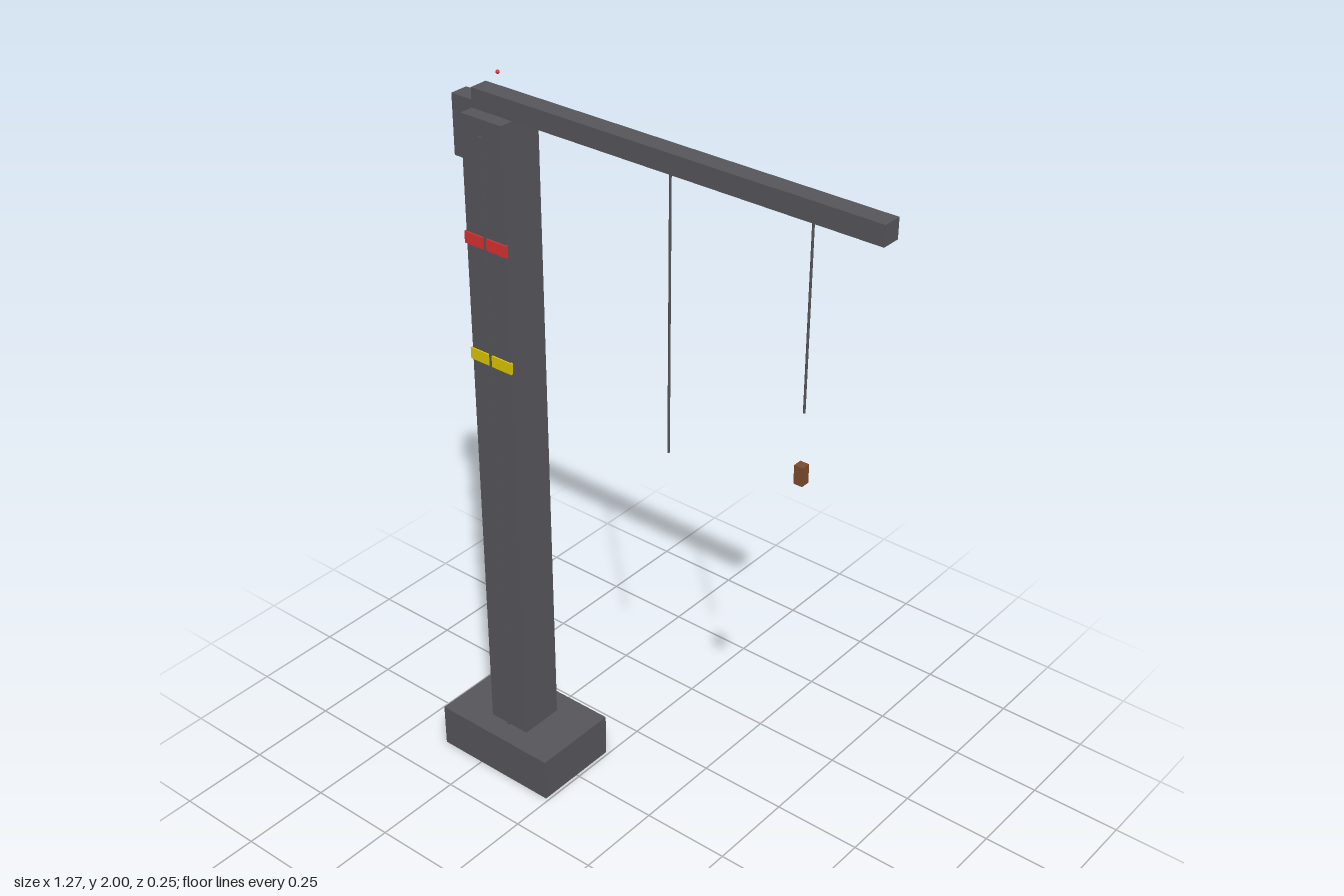
import * as THREE from 'three';

const material = (color) => new THREE.MeshStandardMaterial({ color });

export function createModel() {
  const model = new THREE.Group();
  const steel = material(0x55555a);
  const mastX = -0.446;

  // Box given by its [min, max] extent along each axis
  const box = (name, [x0, x1], [y0, y1], [z0, z1], mat = steel) => {
    const mesh = new THREE.Mesh(new THREE.BoxGeometry(x1 - x0, y1 - y0, z1 - z0), mat);
    mesh.position.set((x0 + x1) / 2, (y0 + y1) / 2, (z0 + z1) / 2);
    mesh.name = name;
    model.add(mesh);
  };

  // Foundation, mast, jib and counterweight
  box('base', [-0.635, -0.259], [0, 0.126], [-0.126, 0.126]);
  box('mast', [-0.509, -0.383], [0.126, 1.9], [-0.063, 0.063]);
  box('jib', [-0.509, 0.632], [1.9, 1.95], [-0.025, 0.025]);
  box('counterweight', [-0.573, -0.509], [1.765, 1.92], [-0.025, 0.025]);

  // Thin rails up the front and back of the mast
  for (const side of [-1, 1]) {
    const z = [0.063 * side, 0.069 * side].sort((a, b) => a - b);
    box(side > 0 ? 'frontRail' : 'backRail', [mastX - 0.003, mastX + 0.003], [0.126, 1.86], z);
  }

  // Coloured bands across the mast front
  box('redBand', [-0.513, -0.379], [1.571, 1.602], [0.06, 0.067], material(0xd63030));
  box('yellowBand', [-0.513, -0.379], [1.256, 1.287], [0.06, 0.067], material(0xd8c400));

  // Hanging cables and the load
  for (const [x, bottom] of [[0.06, 1.177], [0.441, 1.43]]) {
    const length = 1.9 - bottom;
    const cable = new THREE.Mesh(new THREE.CylinderGeometry(0.003, 0.003, length, 8), steel);
    cable.position.set(x, bottom + length / 2, 0);
    cable.name = 'cable';
    model.add(cable);
  }
  box('load', [0.429, 0.453], [1.247, 1.296], [-0.012, 0.012], material(0x7a4a2c));

  // Small warning light above the mast
  const beacon = new THREE.Mesh(new THREE.SphereGeometry(0.005, 10, 8), material(0xd63030));
  beacon.position.set(mastX, 1.995, 0);
  beacon.name = 'beacon';
  model.add(beacon);

  return model;
}
